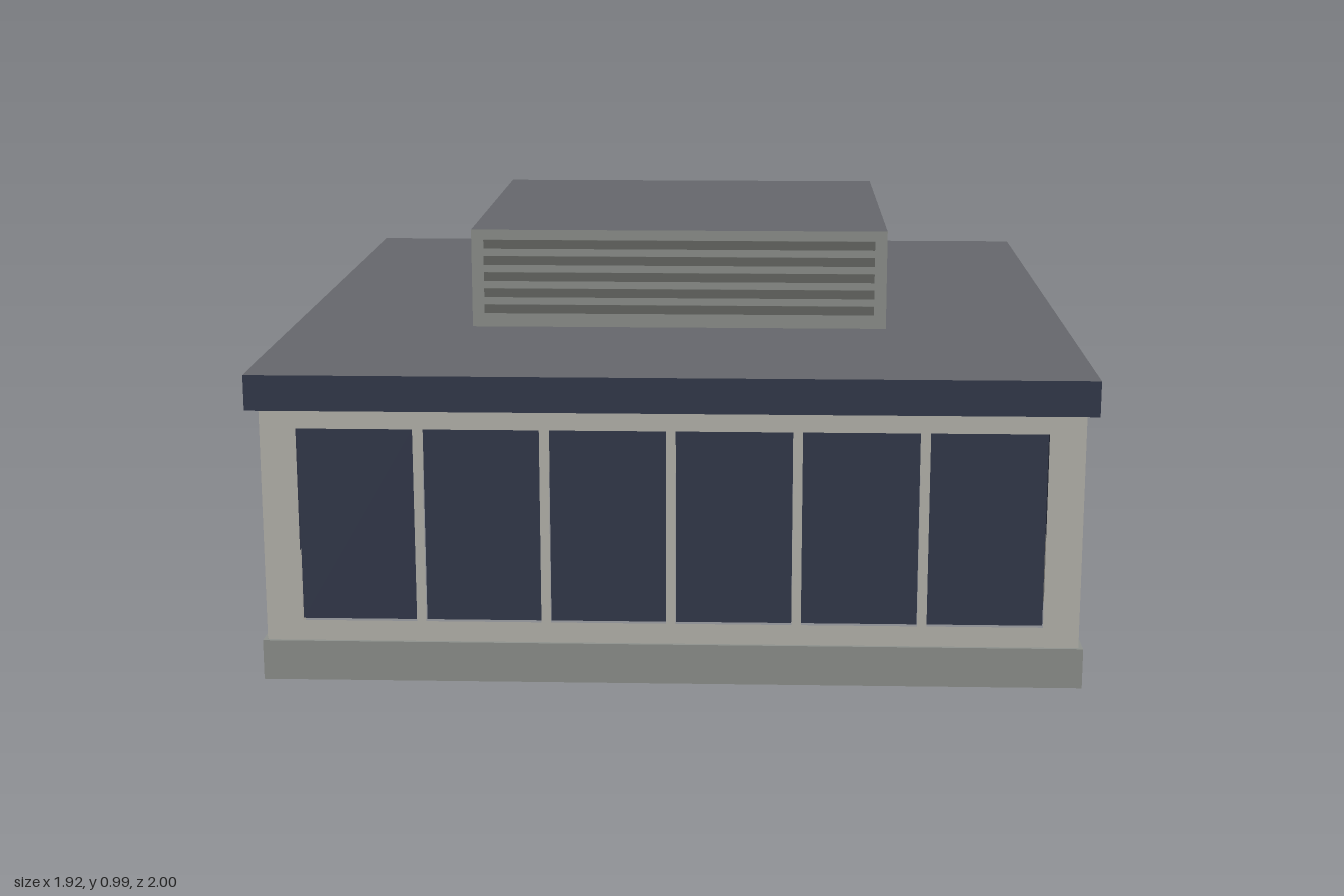
import * as THREE from 'three';

const mat = (name, color, side = THREE.FrontSide) => {
  const m = new THREE.MeshStandardMaterial({ color, side });
  m.name = name;
  return m;
};

export function createModel() {
  const model = new THREE.Group();
  model.name = 'building';
  const wallMat = mat('cream wall', 0xbab8b0, THREE.DoubleSide);
  const glassMat = mat('navy glass and fascia', 0x343a4c, THREE.DoubleSide);
  const baseMat = mat('grey plinth', 0x90938f);
  const roofMat = mat('dark grey roof', 0x67686d);
  const slotMat = mat('louvre slot', 0x676965);

  const add = (parent, name, geometry, material, x = 0, y = 0, z = 0) => {
    const mesh = new THREE.Mesh(geometry, material);
    mesh.name = name;
    mesh.position.set(x, y, z);
    parent.add(mesh);
    return mesh;
  };
  const rect = (Kind, x0, y0, x1, y1) => new Kind().moveTo(x0, y0).lineTo(x1, y0)
    .lineTo(x1, y1).lineTo(x0, y1).closePath();
  // box given by its limits
  const block = (parent, name, material, x0, x1, y0, y1, z0, z1) => add(parent, name,
    new THREE.BoxGeometry(x1 - x0, y1 - y0, z1 - z0), material,
    (x0 + x1) / 2, (y0 + y1) / 2, (z0 + z1) / 2);

  const X = 0.942, ZF = 0.928, ZB = -0.98, ZC = (ZF + ZB) / 2, EAVE = 0.66, RECESS = 0.015;

  // thin wall with openings [centre, bottom, width, height], panes set just behind it
  const wall = (name, paneName, half, openings) => {
    const g = new THREE.Group();
    g.name = name;
    const shape = rect(THREE.Shape, -half, 0, half, EAVE);
    for (const [c, y, w, h] of openings) {
      shape.holes.push(rect(THREE.Path, c - w / 2, y, c + w / 2, y + h));
      add(g, paneName, new THREE.PlaneGeometry(w, h), glassMat, c, y + h / 2, -RECESS);
    }
    add(g, name + 'Panel', new THREE.ShapeGeometry(shape), wallMat);
    model.add(g);
    return g;
  };

  // front shop windows
  const frontOpenings = [];
  for (let i = 0; i < 6; i++) frontOpenings.push([(i - 2.5) * 0.29, 0.143, 0.268, 0.459]);
  wall('frontWall', 'frontWindow', X, frontOpenings).position.z = ZF;

  // back wall with door (seen from behind, +x lies to the left)
  const back = wall('backWall', 'backDoor', X, [[0.01, 0.095, 0.18, 0.36]]);
  back.rotation.y = Math.PI;
  back.position.z = ZB;

  // side walls with five windows each
  for (const s of [1, -1]) {
    const openings = [];
    for (let i = 0; i < 5; i++) {
      const z = 0.67 - 0.35 * i;
      openings.push([-s * (z - ZC), 0.215, 0.208, 0.357]);
    }
    const side = wall(s > 0 ? 'leftWall' : 'rightWall', 'sideWindow', (ZF - ZB) / 2, openings);
    side.rotation.y = s * Math.PI / 2;
    side.position.set(s * X, 0, ZC);
  }

  // ceiling closing the hollow shell
  const ceiling = add(model, 'ceiling', new THREE.PlaneGeometry(2 * X, ZF - ZB), wallMat, 0, EAVE - 0.004, ZC);
  ceiling.rotation.x = Math.PI / 2;

  // plinth band around the foot of the walls
  const ring = rect(THREE.Shape, -X - 0.01, -ZF - 0.009, X + 0.01, -ZB + 0.009);
  ring.holes.push(rect(THREE.Path, -X - 0.001, -ZF - 0.001, X + 0.001, -ZB + 0.001));
  const plinth = add(model, 'plinth',
    new THREE.ExtrudeGeometry(ring, { depth: 0.095, bevelEnabled: false }), baseMat);
  plinth.rotation.x = -Math.PI / 2;

  // roof slab with fascia
  block(model, 'roofSlab', [glassMat, glassMat, roofMat, glassMat, glassMat, glassMat],
    -0.96, 0.96, EAVE, 0.742, -1, 1);

  // rooftop plant housing with louvres front and back
  block(model, 'plantHousing', [baseMat, baseMat, roofMat, baseMat, baseMat, baseMat],
    -0.513, 0.513, 0.742, 0.985, -0.545, 0.413);
  for (const z of [0.413, -0.545]) {
    for (let i = 0; i < 5; i++) {
      const y = 0.787 + i * 0.0405;
      block(model, 'louvreSlot', slotMat, -0.483, 0.483, y - 0.011, y + 0.011, z - 0.003, z + 0.003);
    }
  }
  return model;
}
